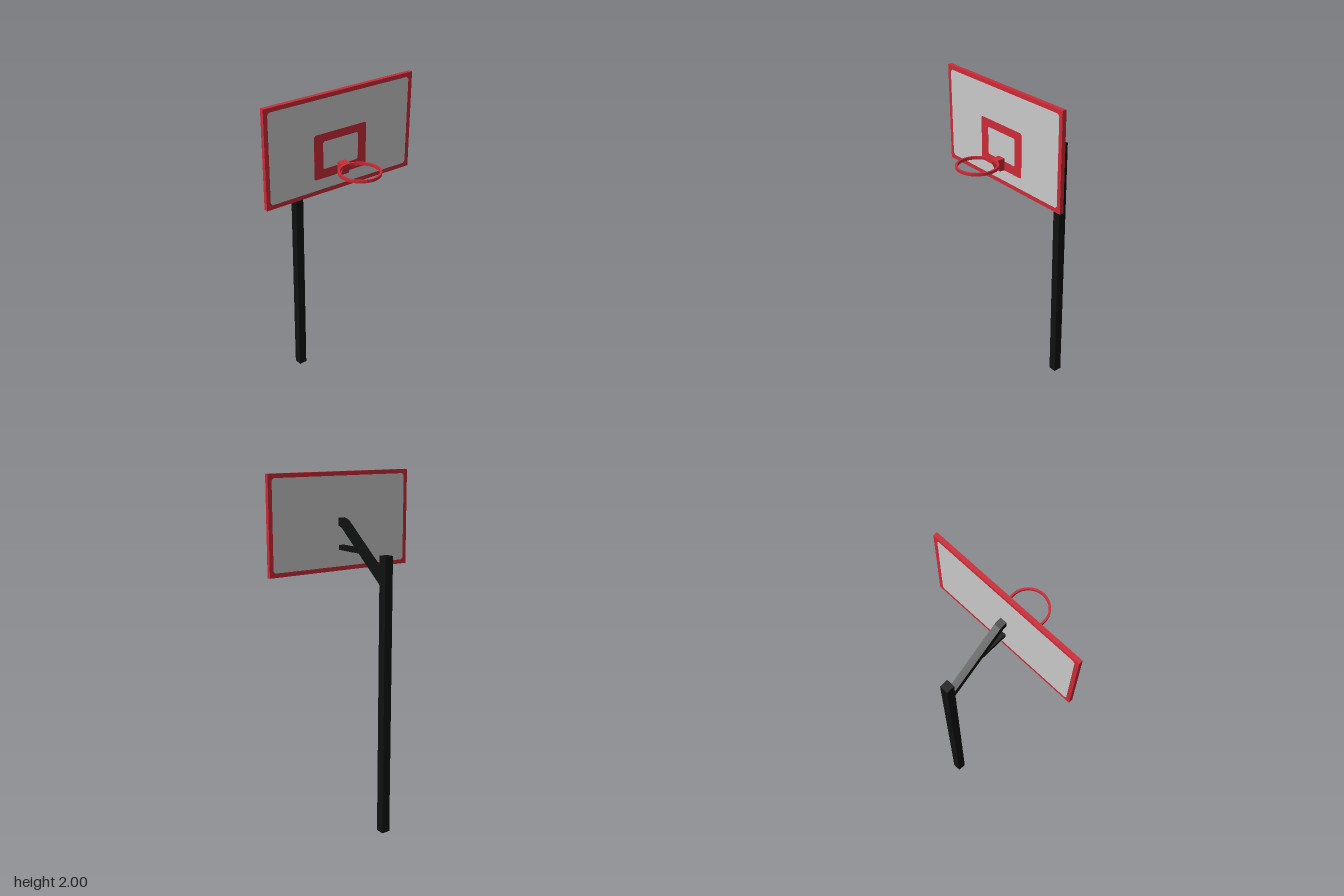
import * as THREE from 'three';

const mat = (name, color) => new THREE.MeshStandardMaterial({ name, color });

// Rectangle with small chamfered corners, as a list of points
function rectPoints(x0, x1, y0, y1, c = 0) {
  const p = c
    ? [[x0 + c, y0], [x1 - c, y0], [x1, y0 + c], [x1, y1 - c], [x1 - c, y1], [x0 + c, y1], [x0, y1 - c], [x0, y0 + c]]
    : [[x0, y0], [x1, y0], [x1, y1], [x0, y1]];
  return p.map(([x, y]) => new THREE.Vector2(x, y));
}

// Flat plate facing +z, with an optional opening
function plate(outer, hole, z, depth) {
  const shape = new THREE.Shape(outer);
  if (hole) shape.holes.push(new THREE.Path(hole));
  return new THREE.ExtrudeGeometry(shape, { depth, bevelEnabled: false }).translate(0, 0, z);
}

// Side profile given as [z, y] points, extruded across x and centred
function sideProfile(points, width) {
  const shape = new THREE.Shape(points.map(([z, y]) => new THREE.Vector2(z, y)));
  return new THREE.ExtrudeGeometry(shape, { depth: width, bevelEnabled: false })
    .rotateY(-Math.PI / 2)
    .translate(width / 2, 0, 0);
}

export function createModel() {
  const group = new THREE.Group();
  const red = mat('red paint', 0xcc2b37);
  const grey = mat('grey panel', 0xc9c9c9);
  const black = mat('black steel', 0x0f1010);

  const add = (name, geometry, material) => {
    const mesh = new THREE.Mesh(geometry, material);
    mesh.name = name;
    group.add(mesh);
  };

  // Square post
  add('post', new THREE.BoxGeometry(0.05, 1.58, 0.05).translate(0, 0.79, -0.34), black);

  // Bent arm rising from the post to the board
  add('supportArm', sideProfile([
    [0.064, 1.748], [0.064, 1.704], [0.033, 1.695], [-0.325, 1.41], [-0.325, 1.468], [0.018, 1.738],
  ], 0.04), black);

  // Horizontal brace between arm and board
  add('brace', sideProfile([[0.064, 1.595], [0.064, 1.568], [-0.115, 1.568], [-0.145, 1.595]], 0.034), black);

  // Backboard: red frame around a grey panel
  const opening = () => rectPoints(-0.448, 0.448, 1.474, 1.977, 0.012);
  add('boardFrame', plate(rectPoints(-0.472, 0.472, 1.45, 2), opening(), 0.062, 0.024), red);
  add('boardPanel', plate(opening(), null, 0.062, 0.024), grey);

  // Painted target square
  add('targetSquare', plate(
    rectPoints(-0.174, 0.164, 1.537, 1.789, 0.008),
    rectPoints(-0.117, 0.111, 1.588, 1.744, 0.008), 0.085, 0.002), red);

  // Bracket holding the rim
  add('rimBracket', sideProfile([
    [0.085, 1.54], [0.118, 1.54], [0.142, 1.594], [0.142, 1.606], [0.085, 1.606],
  ], 0.05), red);

  // Rim: flat band with a rectangular section
  const section = rectPoints(0.104, 0.115, 1.592, 1.608);
  for (let i = 0; i < 4; i++) {
    const a = section[i];
    const b = section[(i + 1) % 4];
    add('rim', new THREE.LatheGeometry([a, b], 48).translate(0, 0, 0.249), red);
  }
  return group;
}
